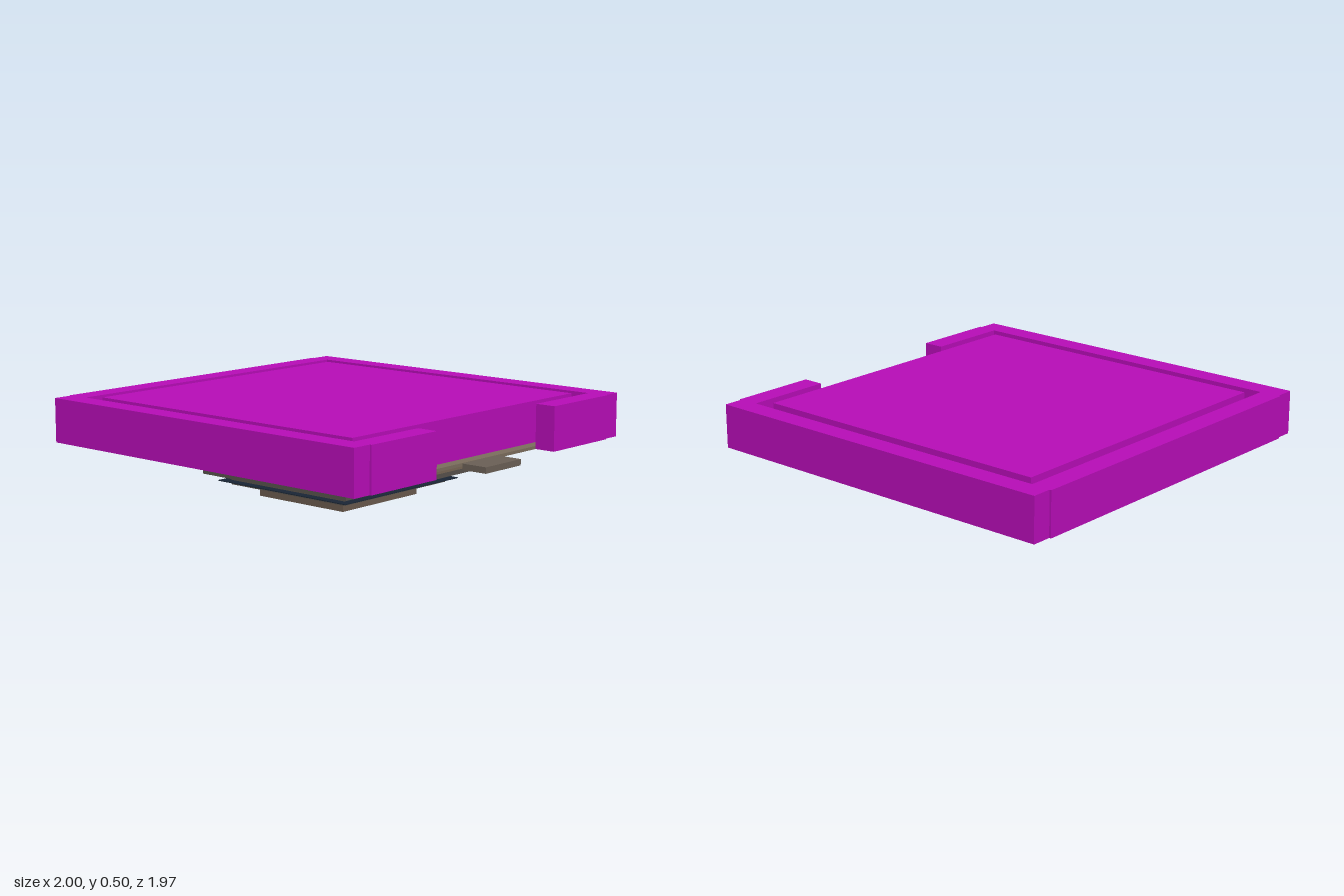
import * as THREE from 'three';

const material = (color) => new THREE.MeshStandardMaterial({ color });

// Box given by its limits on each axis
function block(name, [x0, x1], [y0, y1], [z0, z1], mat) {
  const mesh = new THREE.Mesh(new THREE.BoxGeometry(x1 - x0, y1 - y0, z1 - z0), mat);
  mesh.name = name;
  mesh.position.set((x0 + x1) / 2, (y0 + y1) / 2, (z0 + z1) / 2);
  return mesh;
}

// Rectangular frame of four blocks
function frame(name, [x0, x1], y, [z0, z1], width, mat) {
  const group = new THREE.Group();
  group.name = name;
  group.add(
    block(name + 'Back', [x0, x1], y, [z0, z0 + width], mat),
    block(name + 'Front', [x0, x1], y, [z1 - width, z1], mat),
    block(name + 'Right', [x0, x0 + width], y, [z0 + width, z1 - width], mat),
    block(name + 'Left', [x1 - width, x1], y, [z0 + width, z1 - width], mat)
  );
  return group;
}

export function createModel() {
  const model = new THREE.Group();
  const magenta = material(0xb80db8);
  const stone = material(0x7c6e5e);

  // Outer walls, with an opening in the +x side
  const wallY = [0.28, 0.5];
  const walls = new THREE.Group();
  walls.name = 'walls';
  walls.add(
    block('backWall', [-0.99, 0.955], wallY, [-0.985, -0.88], magenta),
    block('frontWall', [-0.99, 0.955], wallY, [0.87, 0.98], magenta),
    block('rightWall', [-1, -0.89], wallY, [-0.885, 0.88], magenta),
    block('leftWallBack', [0.857, 0.965], wallY, [-0.885, -0.445], magenta),
    block('leftWallFront', [0.857, 0.965], wallY, [0.44, 0.88], magenta)
  );
  model.add(walls);

  // Central slab and the ledge around its foot
  model.add(block('slab', [-0.832, 0.797], wallY, [-0.82, 0.813], magenta));
  model.add(frame('ledge', [-0.893, 0.858], [0.28, 0.295], [-0.88, 0.872], 0.061, stone));

  // Doorstep outside the opening
  model.add(block('doorstep', [0.865, 1], [0.265, 0.295], [-0.135, 0.13], material(0x6b6056)));

  // Stepped pit narrowing downward
  const colors = [0x6a5a4e, 0x5a534b, 0x57524c, 0x776655, 0x6e6456];
  const levels = [0, 0.06, 0.115, 0.17, 0.225, 0.28];
  const steps = new THREE.Group();
  steps.name = 'pitSteps';
  colors.forEach((color, i) => {
    const half = 0.275 + i * 0.0992;
    steps.add(frame('step' + (i + 1), [-0.018 - half, -0.018 + half],
      [levels[i], levels[i + 1]], [-0.003 - half, -0.003 + half], i ? 0.12 : 0.055, material(color)));
  });
  model.add(steps);

  // Thin sheet of water near the bottom of the pit
  model.add(block('water', [-0.438, 0.402], [0.078, 0.082], [-0.423, 0.417], material(0x1a2636)));

  return model;
}
